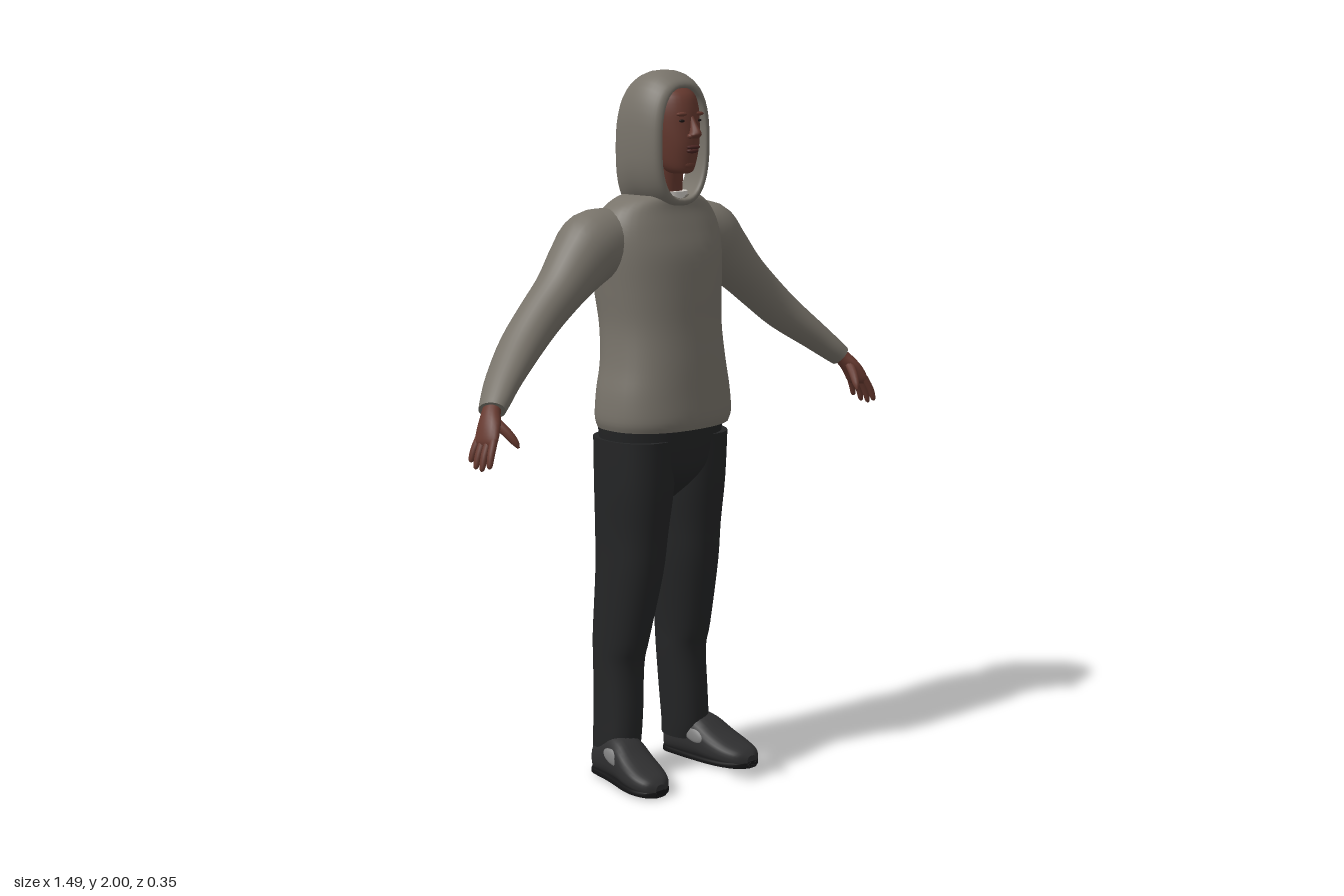
import * as THREE from 'three';

const mat = (name, color, side = THREE.FrontSide) => {
  const m = new THREE.MeshStandardMaterial({ color, side });
  m.name = name;
  return m;
};
const M = {
  knit: mat('grey knit', 0x78736a),
  skin: mat('brown skin', 0x66392f),
  trouser: mat('black cloth', 0x242526),
  shoe: mat('charcoal shoe', 0x303031),
  sole: mat('black rubber', 0x151516),
  patch: mat('grey patch', 0x7c7c7c),
  shirt: mat('white shirt', 0xd2cec8),
  lip: mat('dark lip', 0x4a2522),
  eye: mat('dark eye', 0x1d1513),
};

const X = [1, 0, 0], Y = [0, 1, 0], Z = [0, 0, 1], BACK = [0, 0, -1];

// Smooth interpolation between rows of numbers
function refine(rows, steps) {
  const out = [];
  for (let i = 0; i < rows.length - 1; i++) {
    const q = [-1, 0, 1, 2].map(k => rows[Math.min(rows.length - 1, Math.max(0, i + k))]);
    for (let s = 0; s < steps; s++) {
      const t = s / steps;
      out.push(q[1].map((p, c) => {
        const a = q[0][c], b = q[2][c], d = q[3][c];
        return 0.5 * (2 * p + (b - a) * t + (2 * a - 5 * p + 4 * b - d) * t * t + (3 * p - a - 3 * b + d) * t * t * t);
      }));
    }
  }
  out.push(rows[rows.length - 1]);
  return out;
}

// Skins rounded sections [x, y, z, radiusA, radiusB]; dir fixes the section plane, else it follows the path
function loft(rows, { ref = BACK, dir = null, power = 2, sides = 28, steps = 4, capStart = true, capEnd = true } = {}) {
  const secs = refine(rows, steps), pos = [], idx = [], V = a => new THREE.Vector3(a[0], a[1], a[2]);
  const bend = v => Math.sign(v) * Math.pow(Math.abs(v), 2 / power);
  secs.forEach((s, i) => {
    const t = dir ? V(dir) : V(secs[Math.min(i + 1, secs.length - 1)]).sub(V(secs[Math.max(i - 1, 0)])).normalize();
    const b = V(ref).addScaledVector(t, -V(ref).dot(t)).normalize();
    const a = new THREE.Vector3().crossVectors(b, t);
    for (let j = 0; j < sides; j++) {
      const w = j / sides * Math.PI * 2;
      const p = V(s).addScaledVector(a, bend(Math.cos(w)) * s[3]).addScaledVector(b, bend(Math.sin(w)) * s[4]);
      pos.push(p.x, p.y, p.z);
    }
  });
  for (let i = 0; i < secs.length - 1; i++) {
    for (let j = 0; j < sides; j++) {
      const k = (j + 1) % sides, p = i * sides, q = p + sides;
      idx.push(p + j, p + k, q + j, p + k, q + k, q + j);
    }
  }
  const cap = (i, flip) => {
    const base = pos.length / 3;
    pos.push(...pos.slice(i * sides * 3, (i + 1) * sides * 3), ...secs[i].slice(0, 3));
    for (let j = 0; j < sides; j++) {
      const k = (j + 1) % sides;
      idx.push(base + sides, base + (flip ? k : j), base + (flip ? j : k));
    }
  };
  if (capStart) cap(0, true);
  if (capEnd) cap(secs.length - 1, false);
  const g = new THREE.BufferGeometry();
  g.setAttribute('position', new THREE.Float32BufferAttribute(pos, 3));
  g.setIndex(idx);
  g.computeVertexNormals();
  return g;
}

export function createModel() {
  const root = new THREE.Group();
  const add = (name, geo, material, parent = root) => {
    const m = new THREE.Mesh(geo, material);
    m.name = name;
    parent.add(m);
    return m;
  };
  const blob = (name, material, p, s, parent = root) => {
    const m = add(name, new THREE.SphereGeometry(1, 16, 10), material, parent);
    m.position.set(...p);
    m.scale.set(...s);
    return m;
  };

  // Hoodie body
  add('hoodieBody', loft([
    [0, 1.02, -0.005, 0.2, 0.147], [0, 1.05, -0.004, 0.208, 0.152], [0, 1.12, -0.005, 0.203, 0.148],
    [0, 1.2, -0.006, 0.188, 0.143], [0, 1.3, -0.015, 0.181, 0.142], [0, 1.4, -0.025, 0.19, 0.146],
    [0, 1.5, -0.032, 0.2, 0.143], [0, 1.57, -0.035, 0.2, 0.125], [0, 1.62, -0.032, 0.175, 0.105],
    [0, 1.65, -0.025, 0.135, 0.093], [0, 1.662, -0.02, 0.1, 0.083],
  ], { dir: Y, power: 2.3, sides: 40 }), M.knit);

  // Hood shell: lining, rim, then outside to the back
  add('hood', loft([
    [0, 1.805, 0.0, 0.09, 0.155], [0, 1.803, 0.05, 0.082, 0.152], [0, 1.803, 0.075, 0.08, 0.15],
    [0, 1.803, 0.082, 0.088, 0.158], [0, 1.805, 0.07, 0.104, 0.172], [0, 1.81, 0.03, 0.116, 0.187],
    [0, 1.81, -0.02, 0.118, 0.189], [0, 1.795, -0.07, 0.108, 0.185], [0, 1.78, -0.102, 0.088, 0.165],
    [0, 1.77, -0.118, 0.055, 0.125], [0, 1.77, -0.123, 0.01, 0.03],
  ], { ref: Y, dir: BACK, power: 2.5, sides: 40, capStart: false }), M.knit);

  // Shirt collar and head
  add('shirtCollar', loft([[0, 1.6, 0.005, 0.06, 0.06], [0, 1.672, 0.01, 0.056, 0.058]], { dir: Y }), M.shirt);
  const head = new THREE.Group();
  head.name = 'head';
  root.add(head);
  add('neck', loft([[0, 1.6, -0.005, 0.05, 0.052], [0, 1.68, 0.0, 0.05, 0.05], [0, 1.78, 0.01, 0.05, 0.05]], { dir: Y }), M.skin, head);
  add('face', loft([
    [0, 1.722, 0.06, 0.02, 0.03], [0, 1.73, 0.055, 0.036, 0.047], [0, 1.755, 0.045, 0.05, 0.064],
    [0, 1.8, 0.035, 0.062, 0.081], [0, 1.85, 0.028, 0.07, 0.086], [0, 1.9, 0.022, 0.071, 0.087],
    [0, 1.94, 0.018, 0.06, 0.074], [0, 1.968, 0.01, 0.025, 0.035],
  ], { dir: Y, sides: 32 }), M.skin, head);
  add('nose', loft([
    [0, 1.818, 0.108, 0.014, 0.01], [0, 1.826, 0.119, 0.019, 0.018], [0, 1.836, 0.122, 0.014, 0.019],
    [0, 1.858, 0.114, 0.008, 0.012], [0, 1.878, 0.106, 0.007, 0.007],
  ], { dir: Y, sides: 14 }), M.skin, head);
  blob('upperLip', M.lip, [0, 1.795, 0.115], [0.024, 0.006, 0.011], head);
  blob('lowerLip', M.lip, [0, 1.785, 0.111], [0.021, 0.007, 0.012], head);
  blob('chin', M.skin, [0, 1.748, 0.092], [0.024, 0.017, 0.017], head);
  for (const s of [1, -1]) {
    blob('eye', M.eye, [s * 0.03, 1.866, 0.103], [0.011, 0.004, 0.005], head);
    blob('brow', M.skin, [s * 0.03, 1.884, 0.102], [0.02, 0.006, 0.009], head);
    blob('nostril', M.skin, [s * 0.013, 1.825, 0.117], [0.008, 0.007, 0.01], head);
  }

  // Trouser seat
  add('trouserSeat', loft([
    [0, 0.81, -0.02, 0.03, 0.05], [0, 0.86, -0.018, 0.1, 0.1], [0, 0.92, -0.016, 0.175, 0.126], [0, 1.04, -0.014, 0.198, 0.133],
  ], { dir: Y, power: 2.3, sides: 36 }), M.trouser);

  for (const s of [1, -1]) {
    const side = s > 0 ? 'left' : 'right';
    const flip = rows => rows.map(([x, ...r]) => [x * s, ...r]);
    const limb = (name, rows, material, opt) => add(side + name, loft(flip(rows), opt), material);

    // Sleeve
    limb('Sleeve', [
      [0.12, 1.555, -0.055, 0.075, 0.085], [0.21, 1.528, -0.058, 0.1, 0.095], [0.27, 1.483, -0.055, 0.087, 0.085],
      [0.343, 1.418, -0.047, 0.068, 0.072], [0.42, 1.352, -0.04, 0.06, 0.065], [0.5, 1.283, -0.024, 0.053, 0.063],
      [0.59, 1.21, 0.015, 0.041, 0.054], [0.64, 1.166, 0.043, 0.034, 0.046], [0.664, 1.144, 0.057, 0.03, 0.04],
    ], M.knit);

    // Hand with four fingers and a thumb
    limb('Palm', [
      [0.645, 1.165, 0.045, 0.02, 0.026], [0.67, 1.14, 0.06, 0.021, 0.028], [0.692, 1.108, 0.078, 0.02, 0.038],
      [0.708, 1.075, 0.087, 0.016, 0.042], [0.713, 1.062, 0.089, 0.01, 0.036],
    ], M.skin, { sides: 18 });
    for (let k = 0; k < 4; k++) {
      const o = k - 1.5, l = [0.8, 0.97, 1, 0.88][k];
      limb('Finger', [
        [0.707, 1.08, 0.087 + o * 0.02, 0.01, 0.011],
        [0.707 + 0.02 * l, 1.08 - 0.04 * l, 0.09 + o * 0.024, 0.0095, 0.01],
        [0.707 + 0.03 * l, 1.08 - 0.072 * l, 0.091 + o * 0.026, 0.007, 0.008],
        [0.707 + 0.032 * l, 1.08 - 0.08 * l, 0.091 + o * 0.026, 0.002, 0.002],
      ], M.skin, { sides: 10, steps: 3 });
    }
    limb('Thumb', [
      [0.678, 1.122, 0.082, 0.014, 0.014], [0.664, 1.096, 0.112, 0.013, 0.013],
      [0.652, 1.07, 0.134, 0.01, 0.01], [0.647, 1.054, 0.143, 0.003, 0.003],
    ], M.skin, { sides: 10, steps: 3 });

    // Trouser leg
    limb('TrouserLeg', [
      [0.135, 0.065, -0.06, 0.057, 0.07], [0.134, 0.11, -0.055, 0.061, 0.074], [0.128, 0.2, -0.056, 0.063, 0.076],
      [0.122, 0.33, -0.06, 0.068, 0.075], [0.12, 0.41, -0.052, 0.07, 0.088], [0.108, 0.6, -0.03, 0.082, 0.105],
      [0.103, 0.72, -0.025, 0.088, 0.113], [0.1, 0.85, -0.018, 0.098, 0.121], [0.1, 0.99, -0.015, 0.1, 0.126],
    ], M.trouser, { dir: Y, power: 2.2 });

    // Shoe: sections run from heel to toe as [x, z, half width, height]
    const shoe = [
      [0.14, -0.122, 0.028, 0.06], [0.142, -0.1, 0.048, 0.105], [0.147, -0.04, 0.054, 0.132], [0.155, 0.015, 0.059, 0.126],
      [0.165, 0.07, 0.064, 0.092], [0.173, 0.12, 0.061, 0.068], [0.178, 0.16, 0.045, 0.052], [0.18, 0.178, 0.018, 0.036],
    ];
    limb('Shoe', shoe.map(([x, z, w, h]) => [x, h / 2 + 0.004, z, w, h / 2]), M.shoe, { ref: Y, dir: Z, power: 2.5 });
    limb('Sole', shoe.map(([x, z, w]) => [x, 0.013, z, w + 0.001, 0.01]), M.sole, { ref: Y, dir: Z, power: 5 });
    for (const e of [1, -1]) {
      const p = blob(side + 'ShoePatch', M.patch, [s * 0.155 + e * 0.054, 0.083, 0.012], [0.007, 0.02, 0.042]);
      p.rotation.set(0.3, 0, e * 0.25);
    }

    // Tread pads under the sole
    for (const [x, z, w, l] of [[0.144, -0.07, 0.028, 0.03], [0.157, 0.025, 0.035, 0.03], [0.174, 0.135, 0.032, 0.018]]) {
      const pad = add(side + 'TreadPad', new THREE.CylinderGeometry(1, 1, 0.006, 20), M.patch);
      pad.position.set(s * x, 0.003, z);
      pad.scale.set(w, 1, l);
    }
  }
  return root;
}
